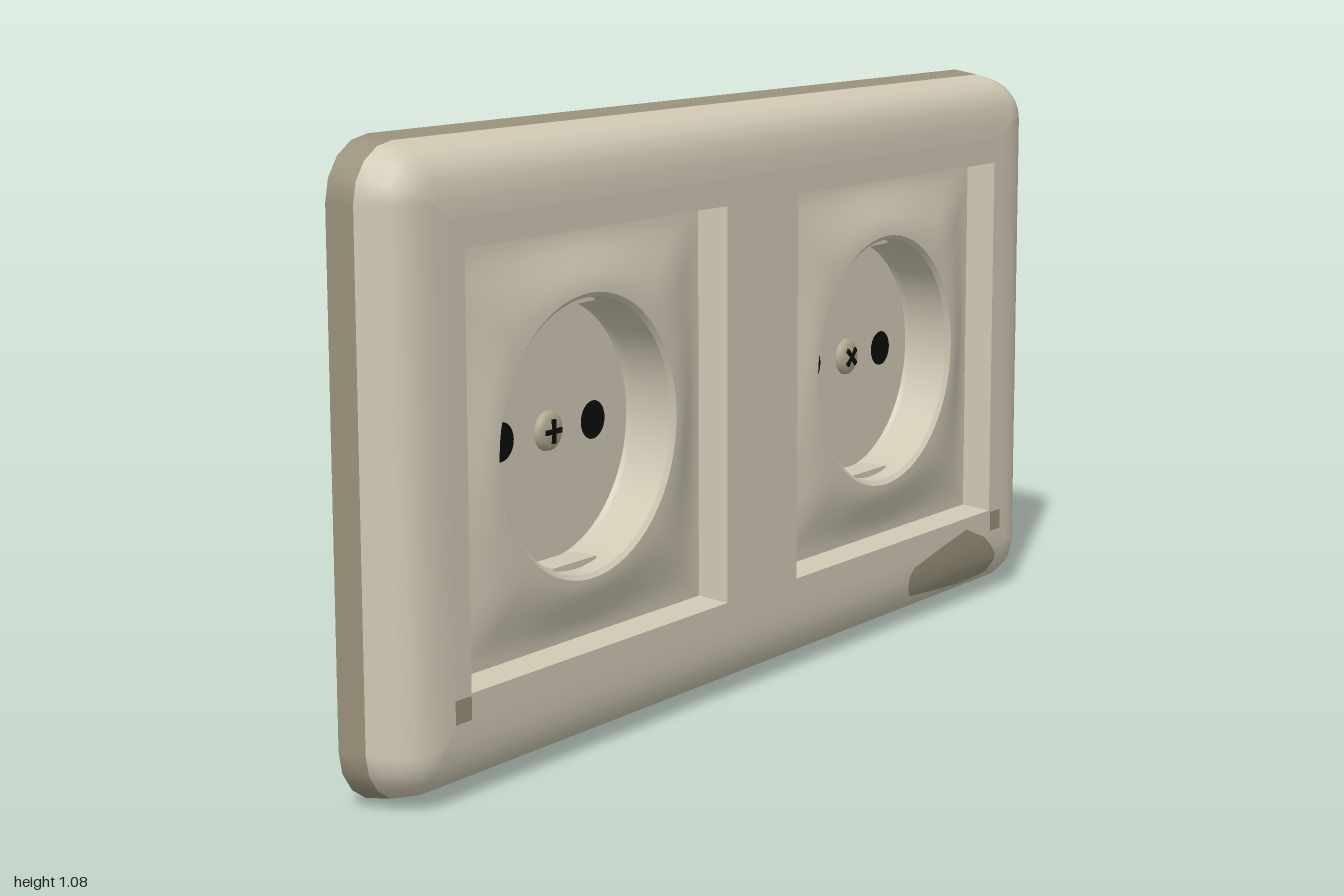
import * as THREE from 'three';

const mat = (name, color, side = THREE.DoubleSide) => {
  const m = new THREE.MeshStandardMaterial({ color, side });
  m.name = name;
  return m;
};

// Sheet through closed rings of points; rings all have the same count
function loft(rings) {
  const n = rings[0].length, pos = [], idx = [];
  rings.forEach(r => r.forEach(p => pos.push(...p)));
  for (let j = 0; j < rings.length - 1; j++)
    for (let i = 0; i < n; i++) {
      const a = j * n + i, b = j * n + (i + 1) % n;
      idx.push(a, b, b + n, a, b + n, a + n);
    }
  const g = new THREE.BufferGeometry();
  g.setAttribute('position', new THREE.Float32BufferAttribute(pos, 3));
  g.setIndex(idx);
  g.computeVertexNormals();
  return g;
}

const HALF_W = 1, HALF_H = 0.5375, FACE = 0.065;
// Edge rounding of the frame: inset from the outline, depth
const EDGE = [[0, -0.07], [0.008, -0.02], [0.016, 0.008], [0.027, 0.032], [0.046, 0.051], [0.07, 0.06], [0.1, 0.0645], [0.13, FACE]];

function depthAt(inset) {
  for (let i = 1; i < EDGE.length; i++) {
    const [a, za] = EDGE[i - 1], [b, zb] = EDGE[i];
    if (inset <= b) return za + (zb - za) * (inset - a) / (b - a);
  }
  return FACE;
}

// Rounded rectangle ring at a given inset
function frameRing([d, z]) {
  const r = Math.max(0.1 - d, 0.004), pts = [], seg = 4;
  [[1, 1], [-1, 1], [-1, -1], [1, -1]].forEach(([sx, sy], k) => {
    for (let i = 0; i <= seg; i++) {
      const a = (k + i / seg) * Math.PI / 2;
      pts.push([sx * (HALF_W - d - r) + r * Math.cos(a), sy * (HALF_H - d - r) + r * Math.sin(a), z]);
    }
  });
  return pts;
}

const SEG = 64;
const ring = fn => Array.from({ length: SEG }, (_, i) => fn((i / SEG) * Math.PI * 2));
const circle = (r, z) => ring(a => [r * Math.cos(a), r * Math.sin(a), z]);
const square = (h, z) => [[h, h, z], [-h, h, z], [-h, -h, z], [h, -h, z]];

export function createModel() {
  const ivory = mat('ivory plastic', 0xcfc8b4);
  const olive = mat('aged olive', 0x98917a);
  const metal = mat('screw metal', 0xb0a88e);
  const black = mat('black', 0x0c0c0a);

  const model = new THREE.Group();
  const body = new THREE.Group();
  body.name = 'doubleSocket';
  body.rotation.y = Math.PI / 2;
  body.position.set(0.0025, HALF_H, 0);
  model.add(body);
  const add = (parent, name, geo, material, x = 0, y = 0, z = 0) => {
    const m = new THREE.Mesh(geo, material);
    m.name = name;
    m.position.set(x, y, z);
    parent.add(m);
    return m;
  };

  // Frame: rear band, rounded edge and flat face with two windows
  const WINDOW = 0.359, PLATE = 0.352, PLATE_Z = 0.007, SPACING = 0.472;
  add(body, 'rearBand', loft(EDGE.slice(0, 2).map(frameRing)), olive);
  add(body, 'roundedEdge', loft(EDGE.slice(1).map(frameRing)), ivory);
  const toV2 = p => new THREE.Vector2(p[0], p[1]);
  const face = new THREE.Shape(frameRing(EDGE[EDGE.length - 1]).map(toV2));
  for (const s of [-1, 1])
    face.holes.push(new THREE.Path(square(WINDOW, 0).map(p => new THREE.Vector2(p[0] + s * SPACING, p[1]))));
  add(body, 'frameFace', new THREE.ShapeGeometry(face), ivory, 0, 0, FACE);

  // Plate swelling from a flat square border up to the round opening
  const LIP_R = 0.245, LIP_Z = 0.036, FLOOR_R = 0.226, FLOOR_Z = -0.06;
  const plateRings = [];
  for (let j = 0; j <= 10; j++) {
    const t = j / 10, z = PLATE_Z + (LIP_Z - PLATE_Z) * t * t * (3 - 2 * t);
    plateRings.push(ring(a => {
      const c = Math.cos(a), s = Math.sin(a);
      const r = THREE.MathUtils.lerp(PLATE / Math.max(Math.abs(c), Math.abs(s)), LIP_R, t);
      return [r * c, r * s, z];
    }));
  }
  const plateGeo = loft(plateRings);
  const wallGeo = loft([square(WINDOW, FACE), square(PLATE, PLATE_Z)]).toNonIndexed();
  wallGeo.computeVertexNormals();
  const lipGeo = loft([circle(LIP_R, LIP_Z), circle(0.237, 0.029)]);
  const cupGeo = loft([circle(0.237, 0.029), circle(0.23, FLOOR_Z + 0.008)]);
  const bevelGeo = loft([circle(0.23, FLOOR_Z + 0.008), circle(FLOOR_R, FLOOR_Z)]);
  const floorGeo = new THREE.CircleGeometry(FLOOR_R, SEG);
  const clipGeo = new THREE.BoxGeometry(0.12, 0.036, 0.055);
  const pinGeo = new THREE.CircleGeometry(0.034, 24);
  const screwGeo = new THREE.LatheGeometry(
    [[0.035, 0], [0.034, 0.007], [0.025, 0.013], [0, 0.016]].map(p => new THREE.Vector2(...p)), 24);
  screwGeo.rotateX(Math.PI / 2);
  const slotGeo = new THREE.BoxGeometry(0.042, 0.009, 0.005);

  for (const s of [-1, 1]) {
    const socket = new THREE.Group();
    socket.name = s < 0 ? 'leftSocket' : 'rightSocket';
    socket.position.x = s * SPACING;
    body.add(socket);
    add(socket, 'windowWall', wallGeo, ivory);
    add(socket, 'plate', plateGeo, ivory);
    add(socket, 'lip', lipGeo, ivory);
    add(socket, 'cupWall', cupGeo, ivory);
    add(socket, 'cupBevel', bevelGeo, ivory);
    add(socket, 'cupFloor', floorGeo, ivory, 0, 0, FLOOR_Z);
    for (const k of [-1, 1]) {
      add(socket, 'earthClip', clipGeo, ivory, 0, k * 0.24, -0.029);
      add(socket, 'pinHole', pinGeo, black, k * 0.126, 0, FLOOR_Z + 0.002);
    }
    // Centre screw with a cross slot
    const screw = new THREE.Group();
    screw.name = 'screw';
    screw.position.z = FLOOR_Z;
    screw.rotation.z = s < 0 ? 0 : Math.PI / 4;
    socket.add(screw);
    add(screw, 'screwHead', screwGeo, metal);
    add(screw, 'slot', slotGeo, black, 0, 0, 0.0145);
    add(screw, 'crossSlot', slotGeo, black, 0, 0, 0.0145).rotation.z = Math.PI / 2;

    // Small worn square near the lower corner
    add(body, 'wornSquare', new THREE.PlaneGeometry(0.04, 0.04), olive, s * 0.853, 0.155 - HALF_H, FACE + 0.0015);
  }

  // Chipped patch hugging the lower edge: across, bottom, top
  const chip = [[0.517, 0.08, 0.1], [0.533, 0.057, 0.115], [0.63, 0.049, 0.136], [0.737, 0.04, 0.156],
    [0.812, 0.043, 0.126], [0.843, 0.047, 0.1], [0.86, 0.07, 0.084]];
  const rows = 8;
  const chipGeo = new THREE.PlaneGeometry(1, 1, chip.length - 1, rows);
  const p = chipGeo.attributes.position;
  for (let i = 0; i < p.count; i++) {
    const [x, lo, hi] = chip[i % chip.length];
    const y = hi + (lo - hi) * Math.floor(i / chip.length) / rows;
    p.setXYZ(i, x, y - HALF_H, depthAt(y) + 0.002);
  }
  chipGeo.computeVertexNormals();
  add(body, 'chippedPatch', chipGeo, olive);

  return model;
}
